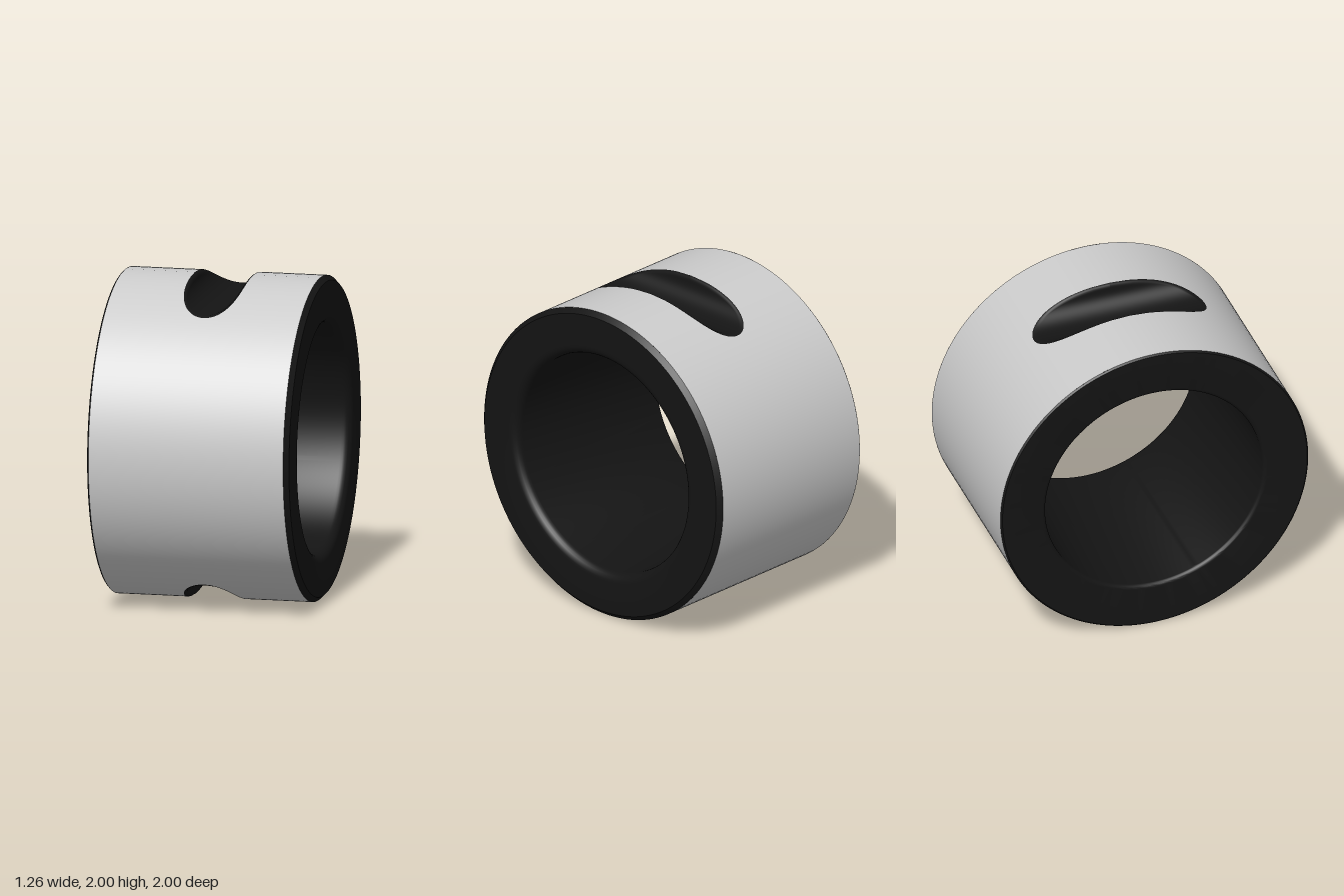
import * as THREE from 'three';
import { toCreasedNormals } from 'three/addons/utils/BufferGeometryUtils.js';

const X0 = -0.62, X1 = 0.6; // ends of the outer sleeve
const DEPTH = 0.17, HALF_WIDTH = 0.185; // slot mouth
const N = 40;

// Surface through rows of points, outward side = row direction x column direction
function grid(rows) {
  const cols = rows[0].length;
  const index = [];
  for (let i = 0; i < rows.length - 1; i++) {
    for (let j = 0; j < cols - 1; j++) {
      const a = i * cols + j, b = a + cols;
      index.push(a, b, a + 1, b, b + 1, a + 1);
    }
  }
  const geo = new THREE.BufferGeometry();
  geo.setAttribute('position', new THREE.Float32BufferAttribute(rows.flat(2), 3));
  geo.setIndex(index);
  geo.computeVertexNormals();
  return geo;
}

// Point on the slot mouth for phi in [-90, 90] degrees
function mouth(phi) {
  const y = 1 - DEPTH * Math.max(0, Math.cos(phi));
  return { x: HALF_WIDTH * Math.sin(phi), y, z: Math.sqrt(Math.max(0, 1 - y * y)) };
}

// Half of the outer sleeve, from the middle of one slot round to the other
function sleeveHalf(side) {
  const slot = [];
  for (let k = 0; k <= N; k++) {
    const m = mouth((1 - k / N) * Math.PI / 2);
    slot.push([Math.atan2(m.z, m.y), m.x]);
  }
  const end = slot[N][0];
  const rows = [...slot];
  for (let k = 1; k < N; k++) rows.push([end + (Math.PI - 2 * end) * k / N, 0]);
  rows.push(...slot.map(([a, w]) => [Math.PI - a, w]).reverse());
  const geo = grid(rows.map(([a, w]) => (side > 0 ? [w, X1] : [X0, -w])
    .map((x) => [x, Math.cos(a), Math.sin(a)])));
  // exact radial normals
  const p = geo.attributes.position, n = geo.attributes.normal;
  for (let i = 0; i < p.count; i++) n.setXYZ(i, 0, p.getY(i), p.getZ(i));
  return geo;
}

// Straight trough across the ring with a softly rounded lip
function slotGeometry() {
  const rows = [];
  for (let i = 0; i <= 2 * N; i++) {
    const phi = (i / N - 1) * Math.PI / 2;
    const m = mouth(phi);
    const core = { x: 0.165 * Math.sin(phi), y: 0.97 - 0.13 * Math.cos(phi), z: Math.max(0, m.z - 0.03) };
    const half = [];
    for (let k = 0; k <= 5; k++) {
      const t = k / 5 * Math.PI / 2, s = Math.sin(t), c = 1 - Math.cos(t);
      half.push([
        m.x + (core.x - m.x) * s,
        m.y + (core.y - m.y) * c,
        m.z + (core.z - m.z) * c,
      ]);
    }
    rows.push([...half, ...half.map(([x, y, z]) => [x, y, -z]).reverse()]);
  }
  return grid(rows);
}

// Bore, end faces and chamfers as one turned profile
function coreGeometry() {
  const pts = [[1, X1], [0.97, 0.63]];
  const fillet = (r, x, sign, flip) => {
    for (let k = 0; k <= 6; k++) {
      const t = (flip ? 6 - k : k) / 6 * Math.PI / 2;
      pts.push([0.705 + r - r * Math.sin(t), x - sign * r * (1 - Math.cos(t))]);
    }
  };
  fillet(0.06, 0.63, 1, false);
  fillet(0.03, -0.63, -1, true);
  pts.push([0.99, -0.63], [1, X0]);
  const geo = new THREE.LatheGeometry(pts.map(([r, y]) => new THREE.Vector2(r, y)), 160);
  return toCreasedNormals(geo.rotateZ(-Math.PI / 2), 0.5);
}

export function createModel() {
  const grey = new THREE.MeshStandardMaterial({ color: 0xcccccc });
  const black = new THREE.MeshStandardMaterial({ color: 0x141414, side: THREE.DoubleSide });
  const ring = new THREE.Group();
  ring.name = 'ring';

  const add = (name, geo, mat) => {
    const mesh = new THREE.Mesh(geo, mat);
    mesh.name = name;
    ring.add(mesh);
    return mesh;
  };

  add('boreAndEndFaces', coreGeometry(), black);

  // Outer sleeve: front and back halves, each split left and right of the slots
  for (const side of [1, -1]) {
    const name = side > 0 ? 'Left' : 'Right';
    add('sleeveFront' + name, sleeveHalf(side), grey);
    // half turn about x gives the back half
    add('sleeveBack' + name, sleeveHalf(side), grey).rotation.x = Math.PI;
  }

  add('topSlot', slotGeometry(), black);
  add('bottomSlot', slotGeometry(), black).rotation.x = Math.PI;

  ring.position.y = 1;
  const model = new THREE.Group();
  model.name = 'slottedRing';
  model.add(ring);
  return model;
}
